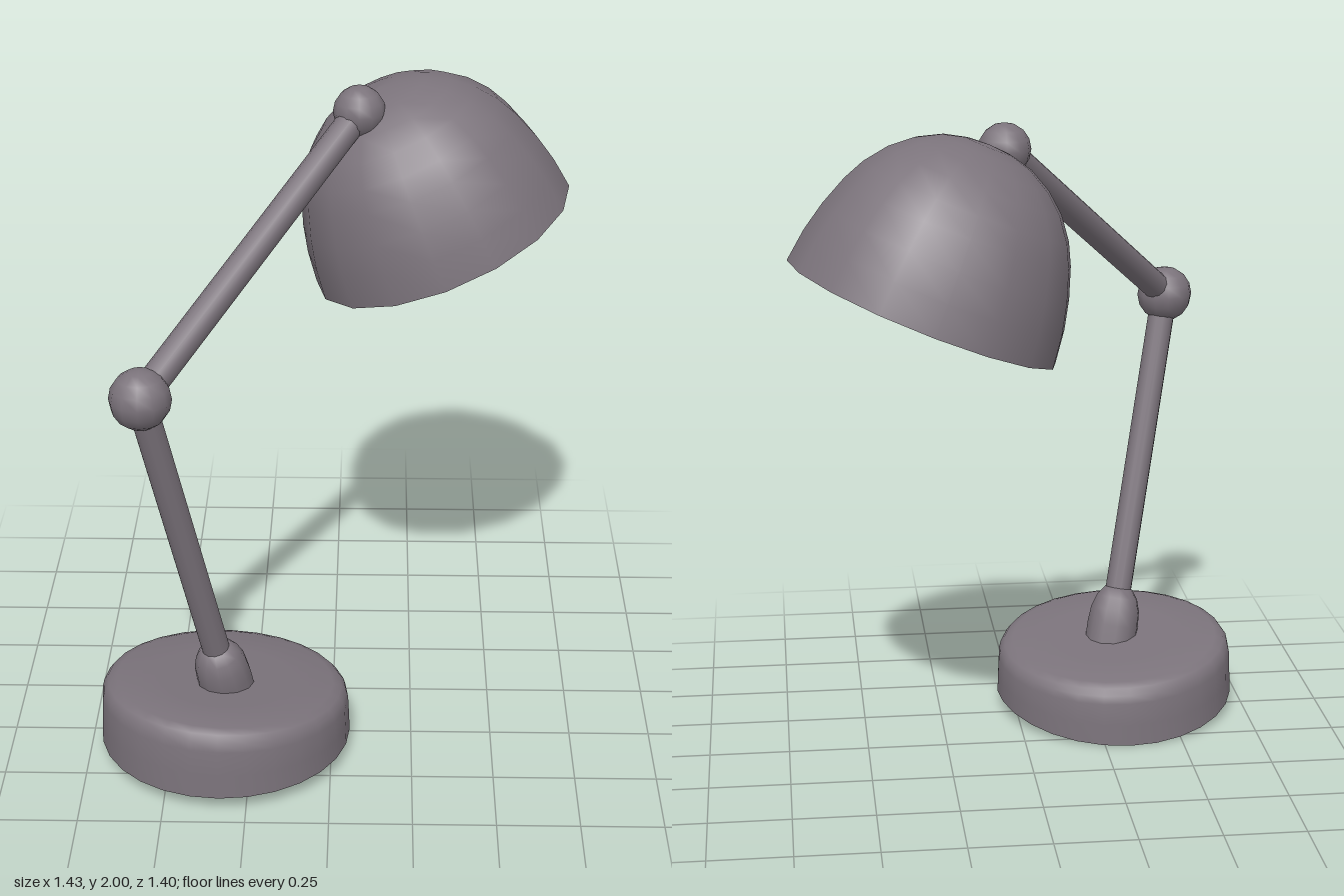
import * as THREE from 'three';
import { toCreasedNormals } from 'three/addons/utils/BufferGeometryUtils.js';

const V = (x, y, z) => new THREE.Vector3(x, y, z);
const UP = V(0, 1, 0);

export function createModel() {
  const group = new THREE.Group();
  const metal = new THREE.MeshStandardMaterial({ color: 0x7b737b });
  metal.name = 'warm grey';
  const shell = new THREE.MeshStandardMaterial({ color: 0x7b737b, side: THREE.DoubleSide });
  shell.name = 'warm grey shell';

  const add = (name, geometry, position, axis = UP, material = metal) => {
    const mesh = new THREE.Mesh(geometry, material);
    mesh.name = name;
    mesh.position.copy(position);
    mesh.quaternion.setFromUnitVectors(UP, axis.clone().normalize());
    group.add(mesh);
    return mesh;
  };
  const lathe = (pairs, segments) =>
    new THREE.LatheGeometry(pairs.map(([r, y]) => new THREE.Vector2(r, y)), segments);
  const rod = (name, a, b, r) => {
    const length = a.distanceTo(b);
    add(name, new THREE.CylinderGeometry(r, r, length, 12), a.clone().lerp(b, 0.5), b.clone().sub(a));
  };

  // Joint centres along the arm
  const foot = V(-0.335, 0.28, 0.345);
  const elbowAt = V(-0.53, 1.32, 0.595);
  const headAt = V(0.075, 1.925, -0.13);

  // Base: a rounded disc with a sloping top and an underside that sags to the back
  const cx = -0.33, cz = 0.313;
  const base = lathe([
    [0, 0], [0.1, 0], [0.2, 0], [0.3, 0], [0.387, 0], [0.385, 0.35], [0.382, 0.72],
    [0.376, 0.85], [0.362, 0.95], [0.335, 1], [0.2, 1], [0, 1],
  ], 28);
  const p = base.attributes.position;
  for (let i = 0; i < p.count; i++) {
    const x = p.getX(i), z = p.getZ(i), t = p.getY(i);
    const back = THREE.MathUtils.clamp((0.3 - (z + cz)) / 0.374, 0, 1);
    const bottom = 0.05 - 0.05 * back ** 1.5;
    const top = 0.232 + 0.1 * z - 0.05 * x;
    p.setY(i, bottom + (top - bottom) * t);
  }
  add('base', toCreasedNormals(base, 0.8), V(cx, 0, cz));

  // Swivel bulb where the arm meets the base
  add('baseJoint', lathe([
    [0.084, -0.1], [0.085, -0.02], [0.081, 0.03], [0.068, 0.07], [0.046, 0.1], [0, 0.11],
  ], 12), foot, elbowAt.clone().sub(foot));

  // Two arm rods and their ball joints
  rod('lowerArm', foot, elbowAt, 0.043);
  rod('upperArm', elbowAt, headAt, 0.044);
  add('elbowJoint', new THREE.SphereGeometry(0.09, 12, 8), elbowAt);
  add('headJoint', new THREE.SphereGeometry(0.079, 12, 8), headAt);

  // Open dome shade, tipped sideways
  const rim = V(0.33, 1.48, -0.283);
  const axis = V(-0.384, 0.922, 0.05).normalize();
  const along = (s) => rim.clone().addScaledVector(axis, s);
  add('shade', lathe([
    [0.42, 0], [0.407, 0.1], [0.385, 0.19], [0.353, 0.28], [0.32, 0.345],
    [0.27, 0.41], [0.21, 0.46], [0.14, 0.497], [0.07, 0.515], [0, 0.52],
  ], 16), rim, axis, shell);

  // Light bulb and its socket inside the shade
  add('bulb', new THREE.SphereGeometry(0.125, 16, 10), along(0.3), axis);
  add('socket', new THREE.CylinderGeometry(0.05, 0.05, 0.12, 12), along(0.45), axis);

  return group;
}
